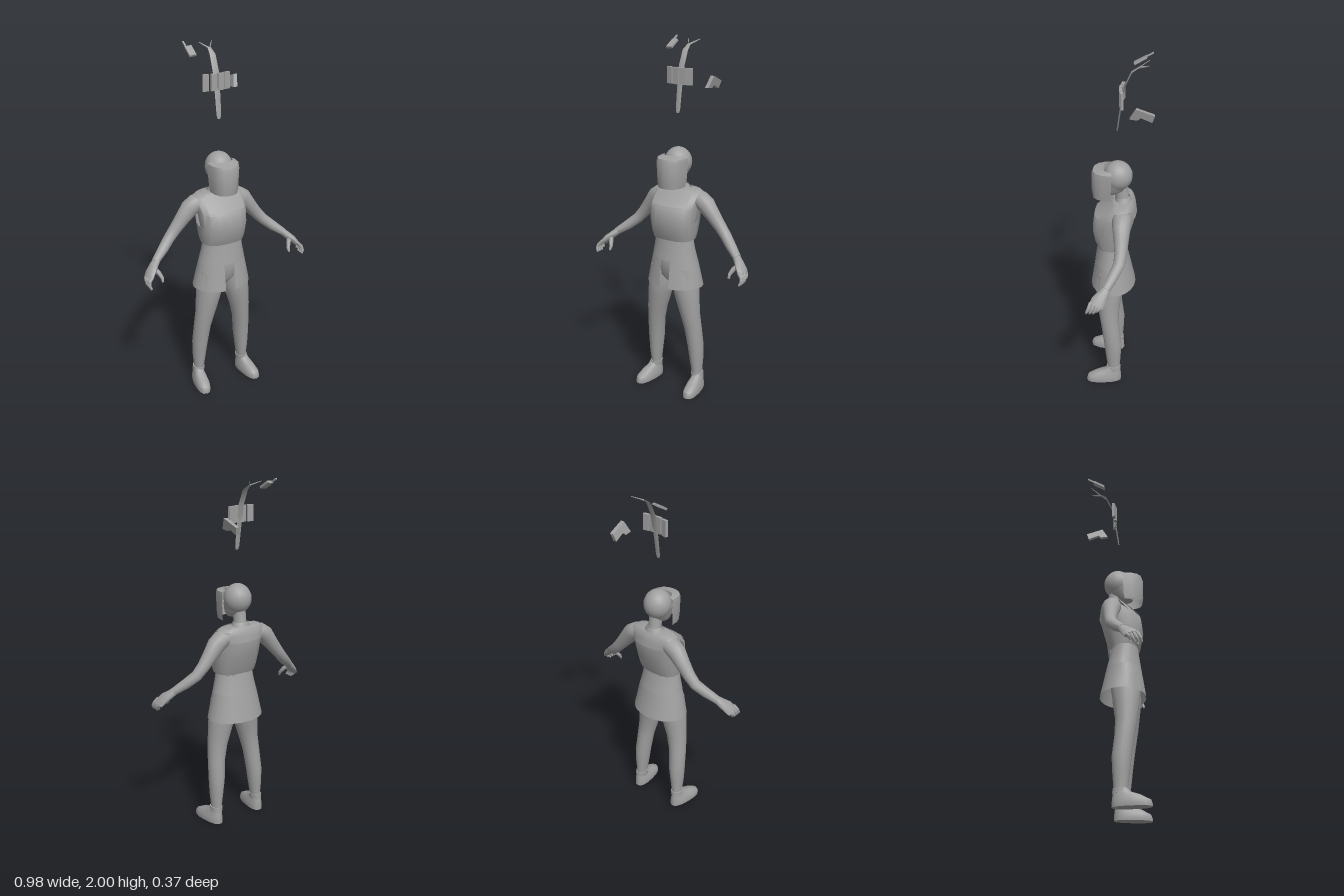
import * as THREE from 'three';
import { toCreasedNormals } from 'three/addons/utils/BufferGeometryUtils.js';

const grey = new THREE.MeshStandardMaterial({ color: 0xa0a0a0, side: THREE.DoubleSide });
grey.name = 'plain grey';

// Skin over elliptical rings. Each row: [x, y, z, radiusA, radiusB].
// bent: rings follow the path; skip(i, j): leave out a patch; gap: half width of a front slit.
function loft(rows, { seg = 16, bent = false, cap = true, skip = () => false, power = 1, gap = 0, crease = 0.8 } = {}) {
  const pos = [], idx = [], n = seg + 1;
  const pts = rows.map(r => new THREE.Vector3(r[0], r[1], r[2]));
  const pw = c => Math.sign(c) * Math.pow(Math.abs(c), power);
  rows.forEach((r, i) => {
    const t = new THREE.Vector3(0, 1, 0);
    if (bent) t.subVectors(pts[Math.min(i + 1, rows.length - 1)], pts[Math.max(i - 1, 0)]).normalize();
    const v = new THREE.Vector3(0, 0, 1).addScaledVector(t, -t.z).normalize();
    const u = new THREE.Vector3().crossVectors(t, v);
    const open = gap ? Math.asin(gap / r[3]) : 0;
    const start = gap ? Math.PI / 2 + open : 0;
    for (let j = 0; j < n; j++) {
      const a = start + (j / seg) * (2 * Math.PI - 2 * open);
      const p = pts[i].clone().addScaledVector(u, pw(Math.cos(a)) * r[3]).addScaledVector(v, pw(Math.sin(a)) * r[4]);
      pos.push(p.x, p.y, p.z);
    }
  });
  for (let i = 0; i < rows.length - 1; i++) for (let j = 0; j < seg; j++) {
    if (skip(i, j)) continue;
    const a = i * n + j, c = a + n;
    idx.push(a, c, a + 1, a + 1, c, c + 1);
  }
  if (cap) [0, rows.length - 1].forEach((i, end) => {
    const m = pos.length / 3;
    pos.push(...pts[i].toArray());
    for (let j = 0; j < seg; j++) {
      const a = i * n + j;
      idx.push(m, ...(end ? [a + 1, a] : [a, a + 1]));
    }
  });
  const g = new THREE.BufferGeometry();
  g.setAttribute('position', new THREE.Float32BufferAttribute(pos, 3));
  g.setIndex(idx);
  return toCreasedNormals(g, crease);
}

export function createModel() {
  const model = new THREE.Group();
  const add = (name, geo, parent = model) => {
    const m = new THREE.Mesh(geo, grey);
    m.name = name;
    parent.add(m);
    return m;
  };

  // Head, neck and face shield
  add('skull', new THREE.SphereGeometry(1, 18, 12).scale(0.077, 0.084, 0.08)).position.set(0, 1.34, 0.01);
  add('jaw', loft([[0, 1.235, 0.05, 0.035, 0.045], [0, 1.26, 0.035, 0.055, 0.065], [0, 1.32, 0.02, 0.07, 0.08]]));
  add('neck', loft([[0, 1.15, -0.025, 0.045, 0.045], [0, 1.2, -0.015, 0.035, 0.036], [0, 1.28, 0, 0.036, 0.042]]));
  add('collar', loft([[0, 1.165, -0.02, 0.065, 0.052], [0, 1.19, -0.02, 0.055, 0.047], [0, 1.215, -0.015, 0.042, 0.04]], { cap: false }));
  add('faceShield', loft([
    [0, 1.215, 0.05, 0.072, 0.1], [0, 1.25, 0.045, 0.077, 0.11], [0, 1.36, 0.04, 0.085, 0.115],
    [0, 1.378, 0.04, 0.083, 0.107], [0, 1.388, 0.04, 0.06, 0.05],
  ], { cap: false, power: 0.8, skip: (i, j) => j > 7 }));

  // Torso with the armour vest over it
  add('torso', loft([
    [0, 0.88, 0.047, 0.112, 0.076], [0, 0.92, 0.045, 0.112, 0.076], [0, 1.0, 0.045, 0.122, 0.09],
    [0, 1.06, 0.03, 0.126, 0.105], [0, 1.11, 0.02, 0.13, 0.1], [0, 1.15, 0.002, 0.128, 0.075],
    [0, 1.175, -0.012, 0.11, 0.055], [0, 1.195, -0.015, 0.05, 0.035],
  ], { power: 0.9 }));
  const side = j => [0, 7, 8, 15].includes(j);
  add('vest', loft([
    [0, 0.915, 0.045, 0.123, 0.08], [0, 0.95, 0.045, 0.13, 0.094], [0, 1.02, 0.042, 0.138, 0.11],
    [0, 1.1, 0.027, 0.139, 0.116], [0, 1.145, 0.004, 0.145, 0.088], [0, 1.175, -0.012, 0.145, 0.066],
    [0, 1.19, -0.015, 0.125, 0.054], [0, 1.193, -0.018, 0.06, 0.042],
  ], { cap: false, power: 0.75, skip: (i, j) => i > 1 && i < 5 && side(j) }));
  // Raised bib plates on chest and back
  add('bibPlates', loft([
    [0, 1.115, 0.022, 0.142, 0.118], [0, 1.147, 0.004, 0.148, 0.094], [0, 1.178, -0.012, 0.14, 0.071],
    [0, 1.195, -0.015, 0.11, 0.054],
  ], { cap: false, power: 0.8, skip: (i, j) => !((j > 1 && j < 6) || (j > 9 && j < 14)) }));

  // Skirt: closed upper part, lower part slit at the front
  add('skirtTop', loft([[0, 0.92, 0.047, 0.115, 0.076], [0, 0.86, 0.045, 0.124, 0.086], [0, 0.795, 0.042, 0.138, 0.099]].reverse(), { cap: false, seg: 20 }));
  add('skirtHem', loft([[0, 0.64, 0.037, 0.17, 0.128], [0, 0.72, 0.04, 0.154, 0.113], [0, 0.795, 0.042, 0.138, 0.099]], { cap: false, seg: 20, gap: 0.03 }));
  add('pelvis', loft([[0, 0.655, 0.05, 0.025, 0.045], [0, 0.7, 0.05, 0.1, 0.075], [0, 0.78, 0.045, 0.125, 0.085], [0, 0.88, 0.045, 0.112, 0.075]]));

  for (const s of [1, -1]) {
    const label = s > 0 ? 'left' : 'right';
    const mirror = rows => rows.map(([x, ...rest]) => [s * x, ...rest]);

    // Legs
    add(label + 'Leg', loft(mirror([
      [0.145, 0.05, 0.025, 0.026, 0.033], [0.142, 0.1, 0.028, 0.028, 0.037], [0.14, 0.18, 0.03, 0.038, 0.045],
      [0.135, 0.27, 0.033, 0.045, 0.052], [0.125, 0.39, 0.048, 0.05, 0.053], [0.11, 0.48, 0.057, 0.058, 0.059],
      [0.093, 0.57, 0.057, 0.07, 0.07], [0.079, 0.65, 0.055, 0.077, 0.08], [0.075, 0.75, 0.05, 0.068, 0.075],
    ])));
    add(label + 'AnkleCuff', loft(mirror([[0.145, 0.07, 0.027, 0.033, 0.042], [0.143, 0.1, 0.028, 0.034, 0.042]])));
    const foot = add(label + 'Foot', loft([
      [0, 0, 0, 0.04, 0.104], [0, 0.015, 0, 0.042, 0.104], [0, 0.035, -0.003, 0.04, 0.1],
      [0, 0.06, -0.025, 0.033, 0.075], [0, 0.078, -0.05, 0.028, 0.046], [0, 0.1, -0.058, 0.026, 0.034],
    ], { power: 0.8 }));
    foot.position.set(s * 0.155, 0, 0.085);
    foot.rotation.y = s * 0.13;

    // Arms
    add(label + 'Arm', loft(mirror([
      [0.085, 1.145, -0.02, 0.035, 0.045], [0.13, 1.135, -0.02, 0.05, 0.053], [0.165, 1.11, -0.02, 0.052, 0.05],
      [0.21, 1.055, -0.022, 0.042, 0.041], [0.255, 1.0, -0.022, 0.035, 0.034], [0.295, 0.955, -0.016, 0.031, 0.032],
      [0.345, 0.912, 0.012, 0.029, 0.029], [0.405, 0.868, 0.047, 0.021, 0.024],
    ]), { bent: true }));

    // Hands
    add(label + 'Palm', loft(mirror([
      [0.395, 0.875, 0.042, 0.02, 0.023], [0.42, 0.853, 0.058, 0.021, 0.03], [0.448, 0.828, 0.08, 0.02, 0.04],
      [0.468, 0.803, 0.095, 0.015, 0.04],
    ]), { bent: true, seg: 12 }));
    for (let k = 0; k < 4; k++) {
      const z = 0.067 + k * 0.019, drop = k === 0 ? 0.012 : 0;
      add(label + 'Finger', loft(mirror([
        [0.456, 0.82, z, 0.01, 0.01], [0.478, 0.797, z + 0.008, 0.01, 0.01],
        [0.482, 0.775 + drop, z + 0.018, 0.009, 0.009], [0.473, 0.757 + drop, z + 0.024, 0.006, 0.006],
      ]), { bent: true, seg: 8 }));
    }
    add(label + 'Thumb', loft(mirror([
      [0.43, 0.845, 0.075, 0.014, 0.014], [0.41, 0.82, 0.1, 0.013, 0.013],
      [0.398, 0.795, 0.118, 0.01, 0.01], [0.4, 0.775, 0.128, 0.006, 0.006],
    ]), { bent: true, seg: 8 }));
  }

  // Floating gear: curved blade with forked tip
  add('blade', loft([
    [0, 1.61, 0.015, 0.008, 0.003], [0, 1.63, 0.012, 0.014, 0.004], [0, 1.74, -0.003, 0.016, 0.004],
    [0, 1.86, -0.024, 0.018, 0.004], [0, 1.94, -0.06, 0.017, 0.004], [0, 1.968, -0.1, 0.01, 0.003],
  ], { bent: true, seg: 4 }));
  for (const s of [1, -1]) {
    add('bladeFork', loft([[0, 1.965, -0.095, 0.005, 0.003], [s * 0.02, 1.978, -0.123, 0.004, 0.002], [s * 0.038, 1.99, -0.148, 0.002, 0.002]], { bent: true, seg: 4 }));
  }

  // Row of four pouches
  [-0.066, -0.022, 0.019, 0.058].forEach((x, i) => {
    const pouch = add('pouch', new THREE.BoxGeometry(0.034, 0.09, 0.016));
    pouch.position.set(x, 1.807, i === 1 || i === 2 ? -0.004 : -0.012);
    pouch.rotation.y = (i - 1.5) * 0.12;
  });

  // Handset with antenna
  const handset = new THREE.Group();
  handset.name = 'handset';
  handset.position.set(-0.11, 1.961, -0.098);
  handset.rotation.set(0.52, 0, 0.1);
  add('handsetBody', new THREE.BoxGeometry(0.038, 0.012, 0.072), handset);
  add('antenna', new THREE.BoxGeometry(0.009, 0.008, 0.042), handset).position.set(-0.012, 0, -0.055);
  model.add(handset);

  // Sidearm: slanted extruded outline, drawn as (-z, y)
  const outline = [[0.058, 1.748], [0.092, 1.81], [0.186, 1.772], [0.173, 1.73], [0.115, 1.758], [0.098, 1.742]];
  const sidearm = new THREE.ExtrudeGeometry(new THREE.Shape(outline.map(p => new THREE.Vector2(...p))), { depth: 0.022, bevelEnabled: false });
  sidearm.rotateY(Math.PI / 2);
  const p = sidearm.attributes.position;
  for (let i = 0; i < p.count; i++) p.setX(i, p.getX(i) + 0.131 + 0.25 * (p.getY(i) - 1.77));
  sidearm.computeVertexNormals();
  add('sidearm', sidearm);

  return model;
}
